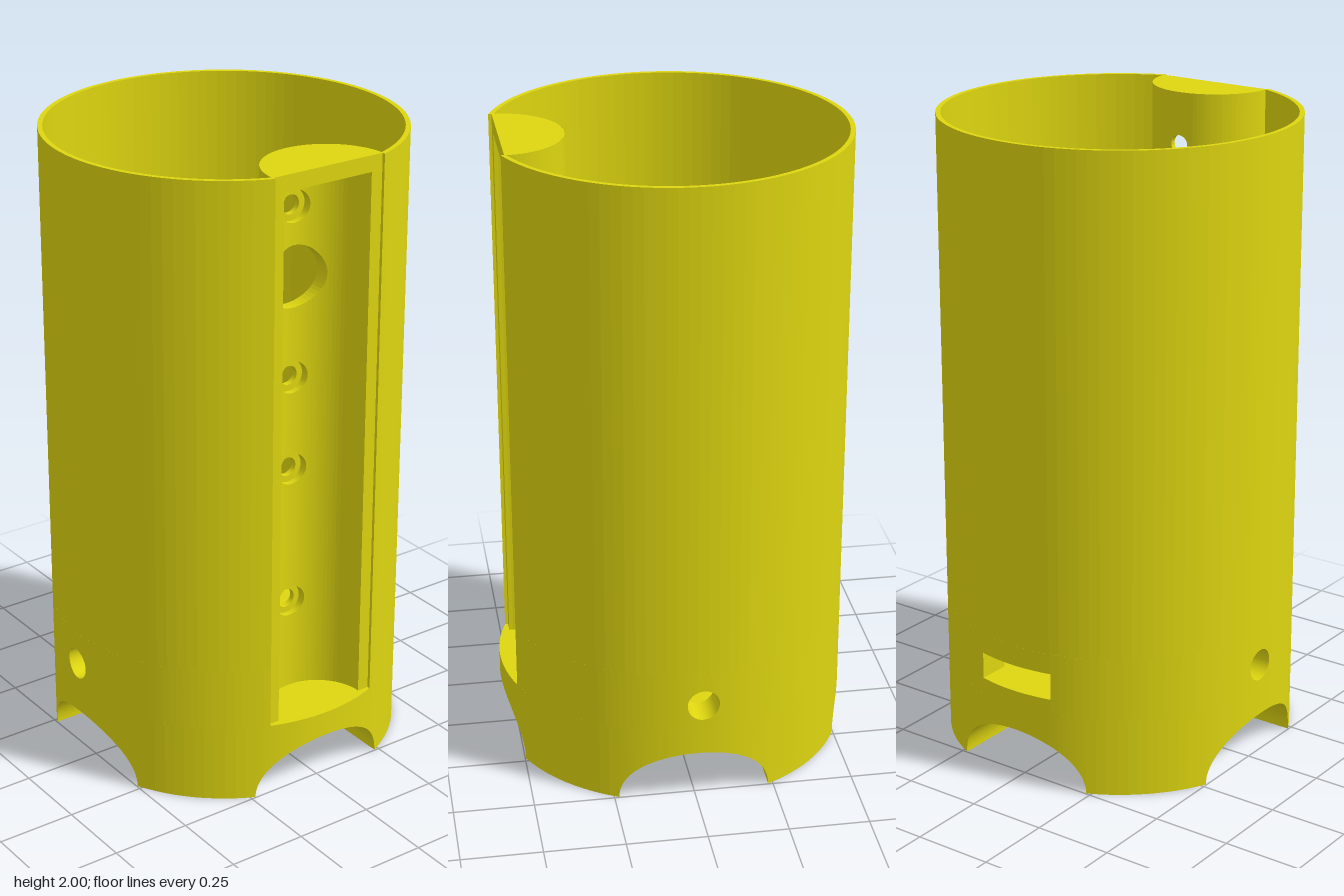
import * as THREE from 'three';
import { mergeGeometries } from 'three/addons/utils/BufferGeometryUtils.js';

const R = 0.55, SHELL = 0.535, WALL = 0.45;        // outer, thin-wall and thick-wall radii
const FLOOR = 0.25, STEP = 0.45, TOP = 2;          // heights
const ARCH_W = 0.235, ARCH_H = 0.17;               // foot arches
const NOTCH = 0.193, FLAT = 0.505;                 // side channel half width and face
const PANEL = 0.13, PORT_Y = 0.3375;               // wall panels carrying the ports
const DRAIN_Z = 0.155, DRAIN_R = 0.076;
const PI = Math.PI;

const half = (r, u) => Math.sqrt(Math.max(0, r * r - u * u));

// Point at distance d along the axis at angle a, shifted sideways by u
const at = (a, d, u, y, cx = 0) =>
  [cx + Math.cos(a) * d - Math.sin(a) * u, y, Math.sin(a) * d + Math.cos(a) * u];

// Strip of faces between two polylines of equal length
function ribbon(a, b) {
  const pos = [];
  for (let i = 0; i + 1 < a.length; i++) {
    pos.push(...a[i], ...b[i], ...a[i + 1], ...a[i + 1], ...b[i], ...b[i + 1]);
  }
  const g = new THREE.BufferGeometry();
  g.setAttribute('position', new THREE.Float32BufferAttribute(pos, 3));
  g.computeVertexNormals();
  return g;
}

// Sideways samples over +-w, with extra ones across each round hole
function samples(w, holes = [], n = 40) {
  const list = [];
  for (let i = 0; i <= n; i++) list.push(-w * Math.cos(PI * i / n));
  for (const h of holes) {
    if (!h.r) continue;
    for (let i = 0; i <= 24; i++) list.push((h.u || 0) - h.r * Math.cos(PI * i / 24));
  }
  return list.sort((p, q) => p - q);
}

// Upright cylindrical surface with holes stacked in rising order
function pierced(a, r, w, y0, y1, holes, cx = 0) {
  const us = samples(w, holes);
  const line = f => us.map(u => at(a, half(r, u), u, f(u), cx));
  const opening = (h, u) => h.r ? half(h.r, u - (h.u || 0)) : h.h;
  const out = [];
  let low = () => y0;
  for (const h of holes) {
    out.push(ribbon(line(low), line(u => h.y - opening(h, u))));
    low = u => h.y + opening(h, u);
  }
  out.push(ribbon(line(low), line(() => y1)));
  return out;
}

// Circle facing along axis a; dist gives its depth for each sideways offset
const ringLoop = (a, h, r, dist, cx = 0) => Array.from({ length: 49 }, (_, i) => {
  const t = i / 48 * 2 * PI, u = (h.u || 0) + r * Math.cos(t);
  return at(a, dist(u), u, h.y + r * Math.sin(t), cx);
});

// Extruded ring sector whose ends run parallel to the axes a1 and a2
function sector(a1, w1, a2, w2, ro, ri, y0, y1) {
  const n = Math.ceil((a2 - a1) / (2 * PI) * 96), pts = [];
  const arc = (r, i) => {
    const s = a1 + Math.asin(w1 / r), e = a2 - Math.asin(w2 / r), t = s + (e - s) * i / n;
    pts.push(new THREE.Vector2(r * Math.cos(t), r * Math.sin(t)));
  };
  for (let i = 0; i <= n; i++) arc(ro, i);
  for (let i = n; i >= 0; i--) arc(ri, i);
  const g = new THREE.ExtrudeGeometry(new THREE.Shape(pts), { depth: y1 - y0, bevelEnabled: false });
  return g.rotateX(PI / 2).translate(0, y1, 0);
}

export function createModel() {
  const group = new THREE.Group();
  const material = new THREE.MeshStandardMaterial({
    color: 0xddd510, flatShading: true, side: THREE.DoubleSide });
  const add = (name, geos) => {
    const plain = geos.map(g => {
      const p = g.index ? g.toNonIndexed() : g;
      p.deleteAttribute('uv');
      return p;
    });
    const mesh = new THREE.Mesh(mergeGeometries(plain), material);
    mesh.name = name;
    group.add(mesh);
  };

  // Thin upper shell, open along the side channel
  add('shell', [sector(0, NOTCH, 2 * PI, NOTCH, R, SHELL, STEP, TOP)]);

  // Thick lower wall: plain sectors between three pierced panels
  const q = PI / 2;
  add('lowerWall', [
    sector(0, NOTCH, q, PANEL, R, WALL, FLOOR, STEP),
    sector(q, PANEL, 2 * q, PANEL, R, WALL, FLOOR, STEP),
    sector(2 * q, PANEL, 3 * q, PANEL, R, WALL, FLOOR, STEP),
    sector(3 * q, PANEL, 4 * q, NOTCH, R, WALL, FLOOR, STEP),
  ]);
  const ports = [
    ['frontPort', q, { y: PORT_Y, r: 0.05, u: 0.02 }],
    ['sideSlot', 2 * q, { y: 0.3425, h: 0.0425 }],
    ['backPort', 3 * q, { y: PORT_Y, r: 0.05, u: -0.02 }],
  ];
  for (const [name, a, h] of ports) {
    const line = (r, y) => samples(PANEL).map(u => at(a, half(r, u), u, y));
    const geos = [R, WALL].flatMap(r => pierced(a, r, PANEL, FLOOR, STEP, [h]));
    geos.push(ribbon(line(R, STEP), line(WALL, STEP)));
    if (h.r) {
      geos.push(ribbon(ringLoop(a, h, h.r, u => half(R, u)), ringLoop(a, h, h.r, u => half(WALL, u))));
    } else {
      for (const s of [-1, 1]) geos.push(ribbon(line(R, h.y + s * h.h), line(WALL, h.y + s * h.h)));
    }
    add(name, geos);
  }

  // Half-round side channel with counterbored screw holes and one large hole
  const rIn = 0.155, rOut = 0.195, lid = 1.95;
  const bores = [0.55, 1, 1.3, 1.62, 1.835].map(y => ({ y, big: y === 1.62 }));
  const holes = (big, small) => bores.map(b => ({ y: b.y, r: b.big ? big : small }));
  const channel = [
    ...pierced(PI, rIn, rIn, FLOOR, lid, holes(0.097, 0.05), FLAT),
    ...pierced(PI, rOut, rOut, FLOOR, TOP, holes(0.097, 0.03), FLAT),
  ];
  for (const b of bores) {
    const inner = u => half(rIn, u), outer = u => half(rOut, u), seat = () => 0.175;
    const steps = b.big ? [[0.097, inner], [0.097, outer]]
      : [[0.05, inner], [0.05, seat], [0.03, seat], [0.03, outer]];
    const loops = steps.map(([r, d]) => ringLoop(PI, b, r, d, FLAT));
    for (let i = 1; i < loops.length; i++) channel.push(ribbon(loops[i - 1], loops[i]));
  }
  add('sideChannel', channel);

  // Channel lid and the flat frame around its opening
  const frame = [];
  for (const [r, y] of [[rIn, lid], [rOut, TOP]]) {
    const us = samples(r);
    frame.push(ribbon(us.map(u => at(PI, half(r, u), u, y, FLAT)), us.map(u => at(PI, 0, u, y, FLAT))));
  }
  const plate = (z0, z1, y0, y1) =>
    ribbon([[FLAT, y0, z0], [FLAT, y0, z1]], [[FLAT, y1, z0], [FLAT, y1, z1]]);
  frame.push(plate(-rOut, -rIn, FLOOR, lid), plate(rIn, rOut, FLOOR, lid), plate(-rOut, rOut, lid, TOP));
  add('channelFrame', frame);

  // Floor disc with drain hole
  const disc = new THREE.Shape().absarc(0, 0, R, 0, 2 * PI);
  disc.holes.push(new THREE.Path().absarc(0, -DRAIN_Z, DRAIN_R, 0, 2 * PI, true));
  add('floor', [new THREE.ShapeGeometry(disc, 48).rotateX(-PI / 2).translate(0, FLOOR, 0)]);

  // Crossing arches under the floor; the front one is pierced by the drain
  const arch = u => ARCH_H * half(1, u / ARCH_W);
  const vault = [], legs = [];
  for (let k = 0; k < 4; k++) {
    const a = k * q, drain = k === 1 ? DRAIN_R : 0;
    const us = samples(ARCH_W, [{ r: drain }]);
    const line = (d, y = arch) => us.map(u => at(a, d(u), u, y(u)));
    const rim = u => half(R, u);
    if (drain) {
      vault.push(ribbon(line(u => Math.abs(u)), line(u => Math.min(rim(u),
        Math.max(Math.abs(u), DRAIN_Z - half(drain, u))))));
      vault.push(ribbon(line(u => Math.max(Math.abs(u), DRAIN_Z + half(drain, u))), line(rim)));
      const loop = f => Array.from({ length: 49 }, (_, i) => {
        const t = i / 48 * 2 * PI, u = drain * Math.cos(t);
        return at(a, DRAIN_Z + drain * Math.sin(t), u, f(u));
      });
      vault.push(ribbon(loop(arch), loop(() => FLOOR)));
    } else {
      vault.push(ribbon(line(u => Math.abs(u)), line(rim)));
    }
    vault.push(ribbon(line(rim), line(rim, () => FLOOR)));

    // Leg between two arches, with a blind hole in its foot
    const t0 = Math.asin(ARCH_W / R), t1 = q - t0, p = 0.345, hr = 0.045, depth = 0.15;
    const ts = Array.from({ length: 13 }, (_, i) => t0 + (t1 - t0) * i / 12);
    const edge = y => ts.map(t => [R * Math.cos(t), y, R * Math.sin(t)]);
    const foot = new THREE.Shape([new THREE.Vector2(ARCH_W, ARCH_W),
      ...ts.map(t => new THREE.Vector2(R * Math.cos(t), R * Math.sin(t)))]);
    foot.holes.push(new THREE.Path().absarc(p, p, hr, 0, 2 * PI, true));
    const parts = [
      ribbon(edge(0), edge(FLOOR)),
      new THREE.ShapeGeometry(foot, 16).rotateX(PI / 2),
      new THREE.CylinderGeometry(hr, hr, depth, 32, 1, true).translate(p, depth / 2, p),
      new THREE.CircleGeometry(hr, 32).rotateX(PI / 2).translate(p, depth, p),
    ];
    legs.push(...parts.map(g => g.rotateY(-a)));
  }
  add('archVault', vault);
  add('legs', legs);
  return group;
}
